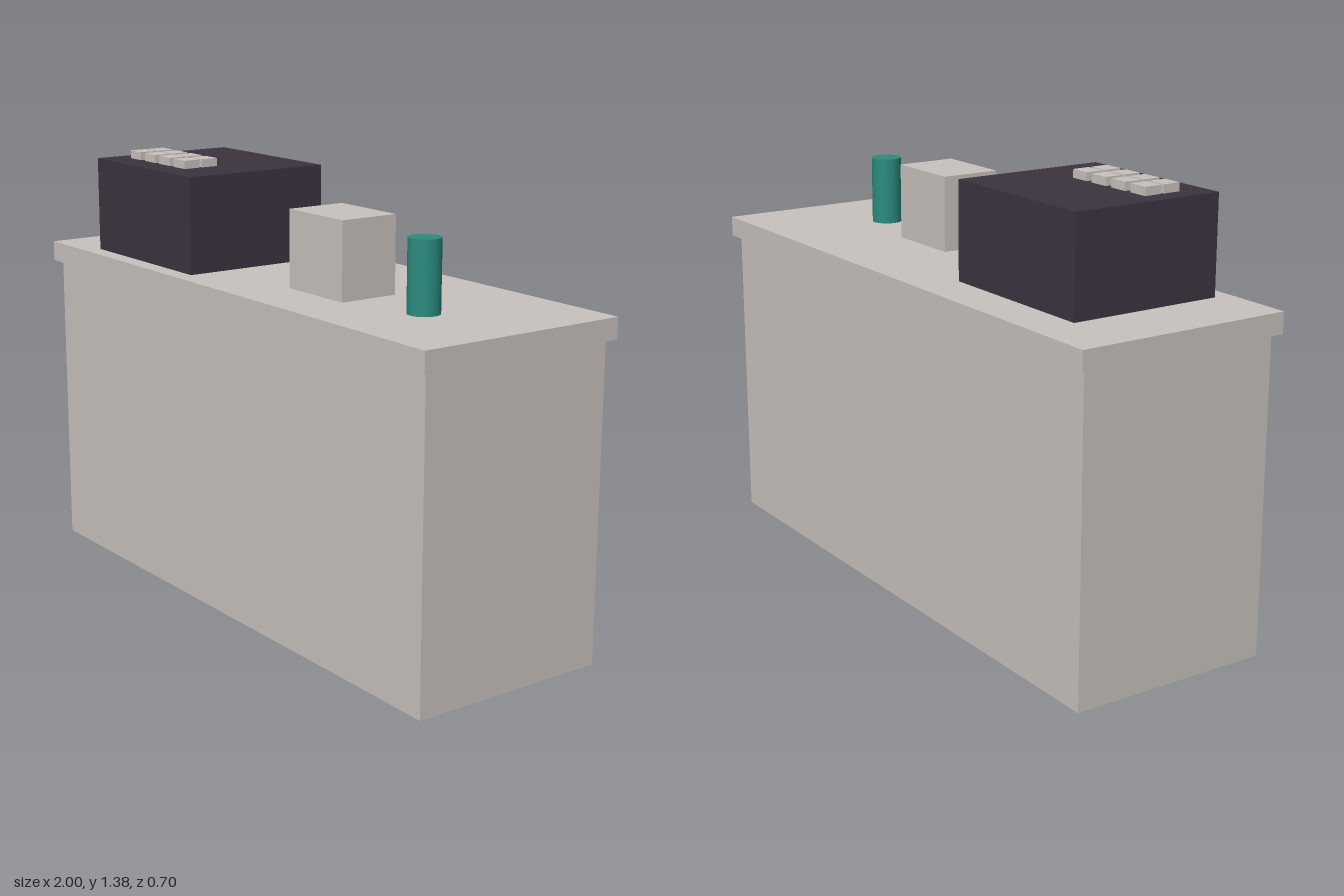
import * as THREE from 'three';

const mat = (name, color) => {
  const m = new THREE.MeshStandardMaterial({ color });
  m.name = name;
  return m;
};

export function createModel() {
  const stone = mat('warm grey', 0xc9c3be);
  const dark = mat('dark plum', 0x3b3440);
  const teal = mat('teal', 0x2a8c7e);
  const group = new THREE.Group();
  group.name = 'serviceCounter';

  const add = (name, geometry, material, x, y, z) => {
    const mesh = new THREE.Mesh(geometry, material);
    mesh.name = name;
    mesh.position.set(x, y, z);
    group.add(mesh);
  };
  // Box given by its size, footprint centre and base height
  const box = (name, material, w, h, d, x, base, z) =>
    add(name, new THREE.BoxGeometry(w, h, d), material, x, base + h / 2, z);

  const top = 1.045;

  // Counter body and overhanging worktop
  box('counterBody', stone, 1.956, 0.98, 0.652, 0, 0, 0);
  box('worktop', stone, 2, top - 0.98, 0.696, 0, 0.98, 0);

  // Register with two rows of four keys
  box('register', dark, 0.567, 0.305, 0.5, -0.492, top, 0.042);
  for (let row = 0; row < 2; row++) {
    for (let col = 0; col < 4; col++) {
      box('registerKey', stone, 0.065, 0.026, 0.057, -0.677 + col * 0.089, 1.35, 0.109 + row * 0.066);
    }
  }

  // Small box and cup on the worktop
  box('dispenserBox', stone, 0.261, 0.24, 0.195, 0.268, top, 0.064);
  add('cup', new THREE.CylinderGeometry(0.049, 0.049, 0.218, 24), teal, 0.65, top + 0.109, 0.064);

  return group;
}
